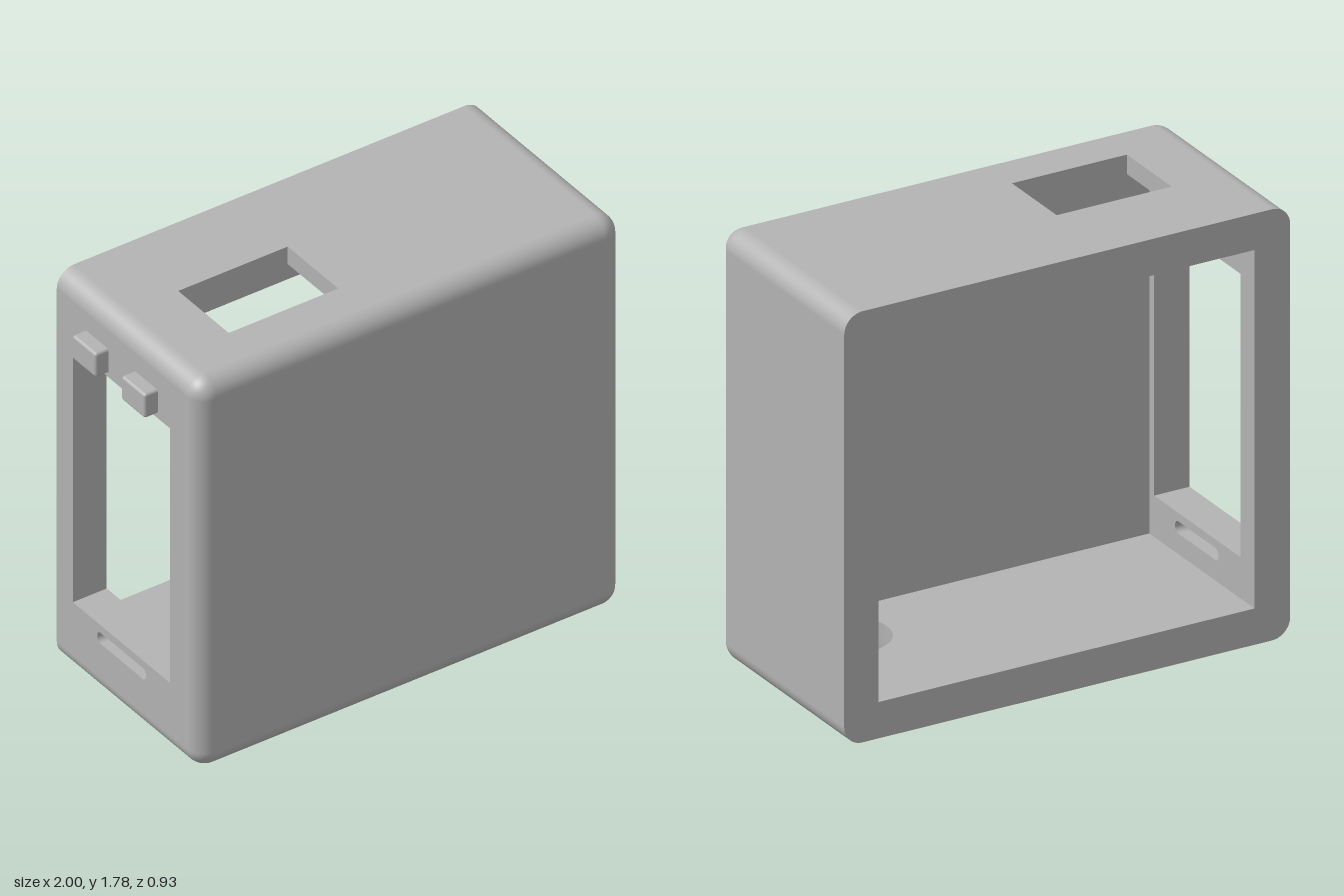
import * as THREE from 'three';
import { RoundedBoxGeometry } from 'three/addons/geometries/RoundedBoxGeometry.js';

const grey = new THREE.MeshStandardMaterial({ color: 0xb3b3b3 });
grey.name = 'plainGrey';

// Outer size, cavity and edge radius
const X0 = -0.94, X1 = 1, H = 1.78, BACK = -0.465, FRONT = 0.465, R = 0.08;
const IN = { x0: -0.785, x1: 0.85, y0: 0.15, y1: 1.63, z1: 0.31 };

function part(group, name, geometry) {
  const mesh = new THREE.Mesh(geometry, grey);
  mesh.name = name;
  group.add(mesh);
  return mesh;
}

// Rounded rectangle outline, used for shapes and holes
function roundRect(path, x0, y0, x1, y1, r = 0) {
  if (r === 0) {
    path.moveTo(x0, y0).lineTo(x1, y0).lineTo(x1, y1).lineTo(x0, y1).closePath();
    return path;
  }
  path.moveTo(x0 + r, y0);
  path.absarc(x1 - r, y0 + r, r, -Math.PI / 2, 0);
  path.absarc(x1 - r, y1 - r, r, 0, Math.PI / 2);
  path.absarc(x0 + r, y1 - r, r, Math.PI / 2, Math.PI);
  path.absarc(x0 + r, y0 + r, r, Math.PI, Math.PI * 1.5);
  return path;
}
const rectHole = (...a) => roundRect(new THREE.Path(), ...a);
const roundHole = (x, y, r) => new THREE.Path().absarc(x, y, r, 0, Math.PI * 2);

function slab(x0, y0, x1, y1, holes, depth) {
  const shape = roundRect(new THREE.Shape(), x0, y0, x1, y1);
  shape.holes.push(...holes);
  return new THREE.ExtrudeGeometry(shape, { depth, bevelEnabled: false, curveSegments: 32 });
}

// Horizontal layer between two heights; holes are drawn in (x, -z)
const layer = (y0, y1, hole) =>
  slab(X0 + R, -(FRONT - R), X1 - R, -BACK, [hole], y1 - y0).rotateX(-Math.PI / 2).translate(0, y0, 0);

function box(x0, y0, z0, x1, y1, z1) {
  return new THREE.BoxGeometry(x1 - x0, y1 - y0, z1 - z0)
    .translate((x0 + x1) / 2, (y0 + y1) / 2, (z0 + z1) / 2);
}

// Rounded outer skin, left open at the back and where pierced panels sit
function outerSkin() {
  const depth = FRONT - BACK + R;
  const source = new RoundedBoxGeometry(X1 - X0, H, depth, 6, R)
    .translate((X0 + X1) / 2, H / 2, FRONT - depth / 2);
  const p = source.attributes.position, n = source.attributes.normal;
  const positions = [], normals = [];
  for (let i = 0; i < p.count; i += 3) {
    const ids = [i, i + 1, i + 2];
    const z = ids.reduce((s, k) => s + p.getZ(k) / 3, 0);
    const pierced = ids.every(k => Math.abs(n.getY(k)) > 0.999) || ids.every(k => n.getX(k) < -0.999);
    if (z < BACK - 1e-4 || pierced) continue;
    for (const k of ids) {
      positions.push(p.getX(k), p.getY(k), p.getZ(k));
      normals.push(n.getX(k), n.getY(k), n.getZ(k));
    }
  }
  const g = new THREE.BufferGeometry();
  g.setAttribute('position', new THREE.Float32BufferAttribute(positions, 3));
  g.setAttribute('normal', new THREE.Float32BufferAttribute(normals, 3));
  return g;
}

export function createModel() {
  const model = new THREE.Group();
  model.name = 'enclosure';

  part(model, 'outerSkin', outerSkin());

  // Rim around the open back
  const rim = roundRect(new THREE.Shape(), -X1, 0, -X0, H, R);
  rim.holes.push(rectHole(-IN.x1, IN.y0, -IN.x0, IN.y1));
  part(model, 'backRim', new THREE.ShapeGeometry(rim, 8).rotateY(Math.PI).translate(0, 0, BACK));

  // Inner faces of the front and the closed side
  part(model, 'frontLining', box(X0 + R, R, IN.z1, X1 - R, H - R, FRONT - R));
  part(model, 'leftLining', box(IN.x1, R, BACK, X1 - R, H - R, FRONT - R));

  // Top with a stepped rectangular opening
  part(model, 'topOuterLayer', layer(1.7, H, rectHole(-0.64, -0.23, -0.14, 0.1)));
  part(model, 'topInnerLayer', layer(IN.y1, 1.7, rectHole(-0.75, -0.23, -0.035, 0.1)));

  // Floor with a counterbored round hole
  part(model, 'floorOuterLayer', layer(0, 0.06, roundHole(0.64, -0.1, 0.195)));
  part(model, 'floorInnerLayer', layer(0.06, IN.y0, roundHole(0.64, -0.1, 0.16)));

  // Right side with a tall window and a small slot
  const holes = [
    rectHole(-0.36, 0.32, 0.275, 1.49),
    rectHole(-0.2, 0.235, 0.12, 0.285, 0.024),
  ];
  part(model, 'windowSide', slab(BACK, R, FRONT - R, H - R, holes, IN.x0 - X0)
    .rotateY(-Math.PI / 2).translate(IN.x0, 0, 0));

  // Two pegs above the window
  for (const z of [-0.203, 0.118]) {
    part(model, 'peg', new RoundedBoxGeometry(0.1, 0.11, 0.155, 3, 0.012)).position.set(-0.95, 1.565, z);
  }
  return model;
}
